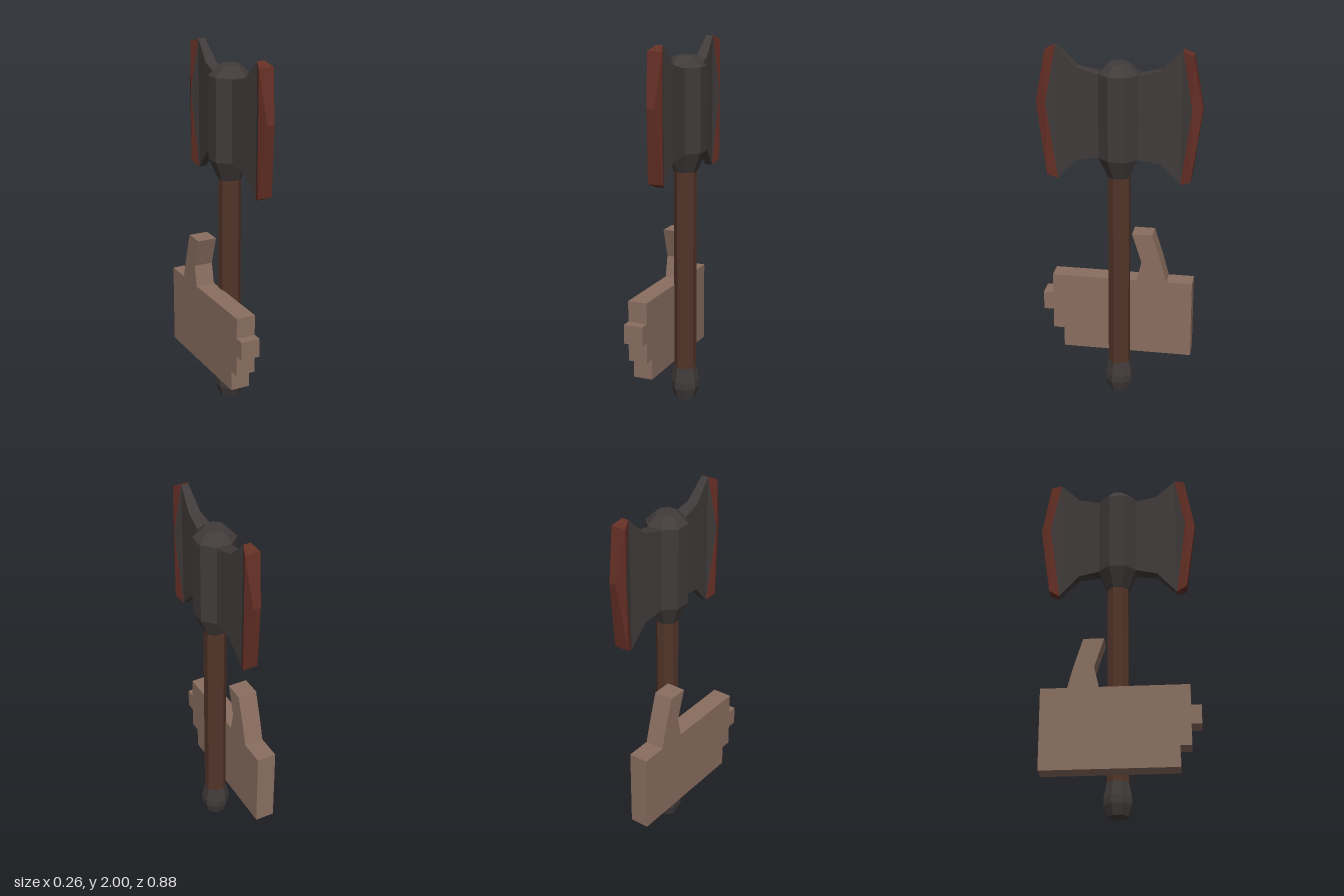
import * as THREE from 'three';

const mat = (name, color) => {
  const m = new THREE.MeshStandardMaterial({ color });
  m.name = name;
  return m;
};

// Octagonal lathe: profile of [flat-to-centre distance, y], flat sides facing the axes
function octagon(name, profile, material) {
  const k = 1 / Math.cos(Math.PI / 8);
  const pts = profile.map(([r, y]) => new THREE.Vector2(r * k, y));
  const geo = new THREE.LatheGeometry(pts, 8, Math.PI / 8).toNonIndexed();
  geo.computeVertexNormals();
  const mesh = new THREE.Mesh(geo, material);
  mesh.name = name;
  return mesh;
}

// Flat-shaded mesh from convex polygons
function faceted(name, polygons, material) {
  const pos = [];
  for (const p of polygons)
    for (let i = 1; i < p.length - 1; i++) pos.push(...p[0], ...p[i], ...p[i + 1]);
  const geo = new THREE.BufferGeometry();
  geo.setAttribute('position', new THREE.Float32BufferAttribute(pos, 3));
  geo.computeVertexNormals();
  const mesh = new THREE.Mesh(geo, material);
  mesh.name = name;
  return mesh;
}

// One blade pointing to +z; outline points are [z, y, half thickness]
function blade(iron, rust) {
  const rootT = [0.1, 1.86, 0.042], neckT = [0.22, 1.89, 0.031], hornT = [0.33, 2.0, 0.02];
  const tipT = [0.385, 1.975, 0.042], nose = [0.44, 1.695, 0.02], tipB = [0.385, 1.3, 0.042];
  const hornB = [0.33, 1.275, 0.02], neckB = [0.22, 1.39, 0.031], rootB = [0.1, 1.41, 0.042];
  const mid = [0.385, 1.695, 0.042];
  const at = ([z, y, w], s) => [s * w, y, z];
  const bothSides = (...pts) => [
    pts.map(p => at(p, 1)),
    pts.map(p => at(p, -1)).reverse(),
  ];
  const rim = (...pts) => pts.slice(1).map((q, i) =>
    [at(pts[i], -1), at(q, -1), at(q, 1), at(pts[i], 1)]);

  const g = new THREE.Group();
  g.add(faceted('bladeBody', [
    ...bothSides(rootT, neckT, neckB, rootB),
    ...bothSides(neckT, hornT, hornB, neckB),
    ...bothSides(hornT, mid, hornB),
    ...rim(rootT, neckT, hornT),
    ...rim(hornB, neckB, rootB),
  ], iron));
  g.add(faceted('bladeEdge', [
    ...bothSides(hornT, tipT, mid),
    ...bothSides(hornB, mid, tipB),
    ...bothSides(tipT, nose, tipB),
    ...rim(hornT, tipT, nose, tipB, hornB),
  ], rust));
  return g;
}

export function createModel() {
  const iron = mat('dark iron', 0x413b3b);
  const rust = mat('rust red', 0x642f25);
  const wood = mat('dark wood', 0x533529);
  const skin = mat('tan', 0x8a6e60);

  const model = new THREE.Group();
  const axe = new THREE.Group();
  axe.name = 'axe';
  axe.position.x = 0.027;
  model.add(axe);

  // Shaft, pommel and head core
  axe.add(octagon('shaft', [[0.057, 0.17], [0.057, 1.31]], wood));
  axe.add(octagon('pommel', [[0, 0], [0.055, 0], [0.073, 0.06], [0.073, 0.1], [0.058, 0.18], [0, 0.18]], iron));
  axe.add(octagon('headCore', [[0, 1.3], [0.058, 1.3], [0.104, 1.41], [0.104, 1.865], [0.052, 1.92], [0, 1.92]], iron));

  // Two opposite blades
  for (let i = 0; i < 2; i++) {
    const b = blade(iron, rust);
    b.name = i ? 'backBlade' : 'frontBlade';
    b.rotation.y = i * Math.PI;
    axe.add(b);
  }

  // Flat hand slab with thumb and stepped fingertips, outline in [z, y]
  const outline = [
    [-0.4, 0.21], [0.33, 0.21], [0.33, 0.325], [0.39, 0.325], [0.39, 0.44], [0.445, 0.44],
    [0.445, 0.545], [0.39, 0.545], [0.39, 0.66], [-0.09, 0.66], [-0.115, 0.775],
    [-0.062, 0.94], [-0.175, 0.94], [-0.225, 0.78], [-0.257, 0.66], [-0.4, 0.66],
  ];
  const shape = new THREE.Shape(outline.map(([z, y]) => new THREE.Vector2(z, y)));
  const handGeo = new THREE.ExtrudeGeometry(shape, { depth: 0.108, bevelEnabled: false });
  handGeo.rotateY(-Math.PI / 2);
  const hand = new THREE.Mesh(handGeo, skin);
  hand.name = 'hand';
  hand.position.x = -0.025;
  model.add(hand);

  return model;
}
